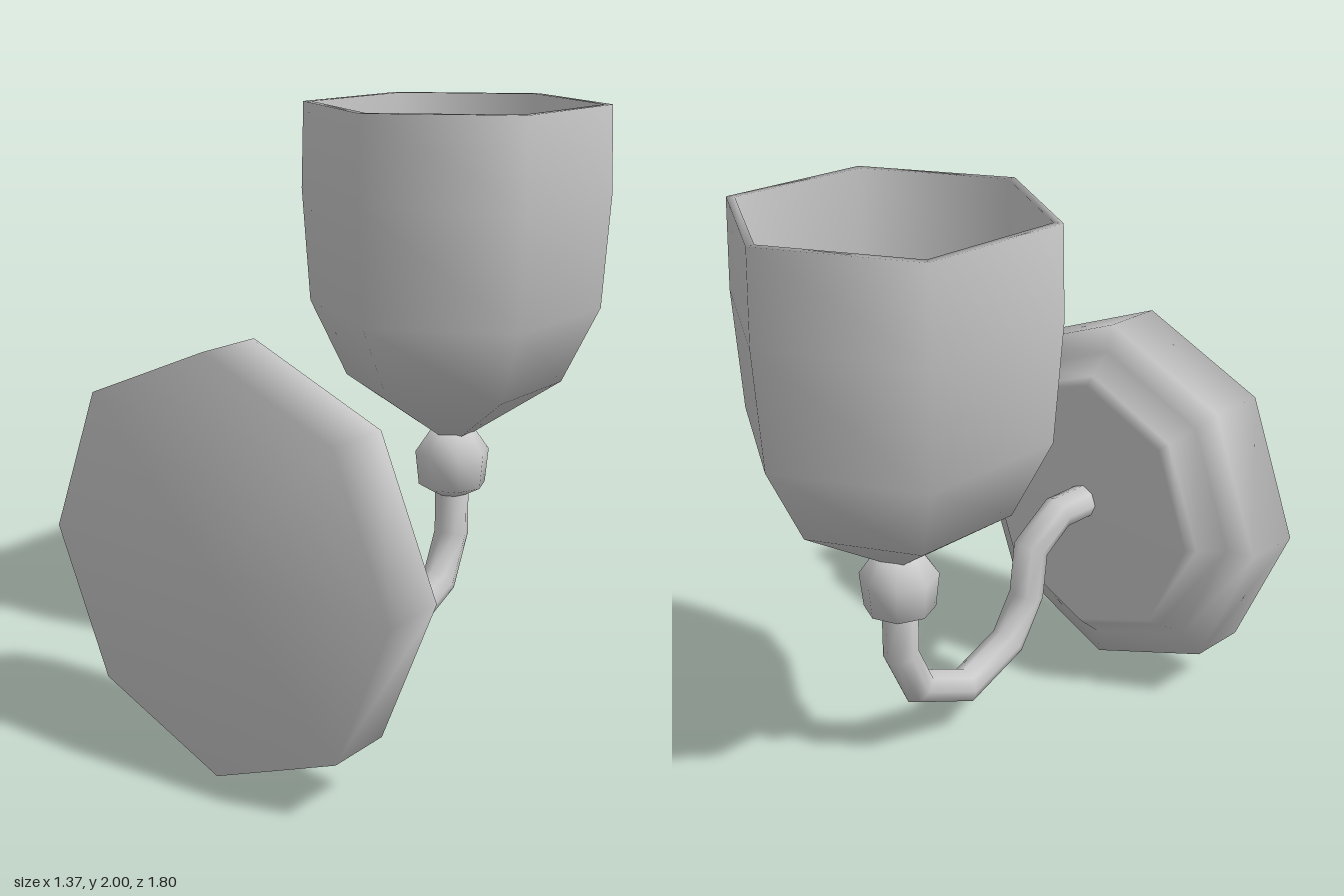
import * as THREE from 'three';
import { mergeVertices } from 'three/addons/utils/BufferGeometryUtils.js';

const material = new THREE.MeshStandardMaterial({ color: 0xcccccc });

function addPart(group, name, geometry) {
  const mesh = new THREE.Mesh(geometry, material);
  mesh.name = name;
  group.add(mesh);
  return mesh;
}

// Turned part from [radius, height] pairs, with few sides and smooth shading
function turned(profile, sides) {
  return new THREE.LatheGeometry(profile.map(([r, h]) => new THREE.Vector2(r, h)), sides);
}

// Mitred pipe through [z, y] points in the x = 0 plane
function pipe(path, radius, sides) {
  const last = path.length - 1;
  const points = path.map(([z, y]) => new THREE.Vector2(z, y));
  const segmentNormal = (i) => {
    const t = points[i + 1].clone().sub(points[i]).normalize();
    return new THREE.Vector2(-t.y, t.x);
  };
  let geometry = new THREE.CylinderGeometry(radius, radius, 1, sides, last, false);
  const pos = geometry.attributes.position;
  for (let v = 0; v < pos.count; v++) {
    const row = Math.round((0.5 - pos.getY(v)) * last);
    const a = segmentNormal(Math.max(row - 1, 0));
    const b = segmentNormal(Math.min(row, last - 1));
    const mitre = a.clone().add(b).divideScalar(1 + a.dot(b));
    const p = points[row].clone().addScaledVector(mitre, pos.getZ(v));
    pos.setXYZ(v, pos.getX(v), p.y, p.x);
  }
  geometry.deleteAttribute('uv');
  geometry.deleteAttribute('normal');
  geometry = mergeVertices(geometry);
  geometry.computeVertexNormals();
  return geometry;
}

export function createModel() {
  const model = new THREE.Group();
  model.name = 'wallSconce';

  // Octagonal mounting plate, stepped towards the arm
  const plate = addPart(model, 'mountingPlate', turned([
    [0, 0.55], [0.485, 0.55], [0.515, 0.58], [0.585, 0.66],
    [0.685, 0.68], [0.685, 0.9], [0, 0.9],
  ], 8).rotateX(Math.PI / 2));
  plate.position.y = 0.685;

  // Curved arm from plate to knob
  addPart(model, 'arm', pipe([
    [0.56, 0.71], [0.415, 0.71], [0.275, 0.612], [0.255, 0.43], [0.16, 0.272],
    [-0.06, 0.178], [-0.285, 0.28], [-0.36, 0.445], [-0.36, 0.63],
  ], 0.062, 8));

  // Knob under the shade
  const knob = addPart(model, 'knob', turned([
    [0, 0.6], [0.06, 0.6], [0.122, 0.635], [0.135, 0.76], [0.08, 0.84], [0, 0.84],
  ], 8));
  knob.position.z = -0.36;

  // Hollow six-sided shade with an open top
  const shade = addPart(model, 'shade', turned([
    [0, 0.82], [0.075, 0.83], [0.385, 1.03], [0.515, 1.3], [0.54, 1.7], [0.53, 2],
    [0.5, 2], [0.505, 1.7], [0.48, 1.31], [0.355, 1.06], [0, 0.87],
  ], 6));
  shade.position.z = -0.36;

  return model;
}
